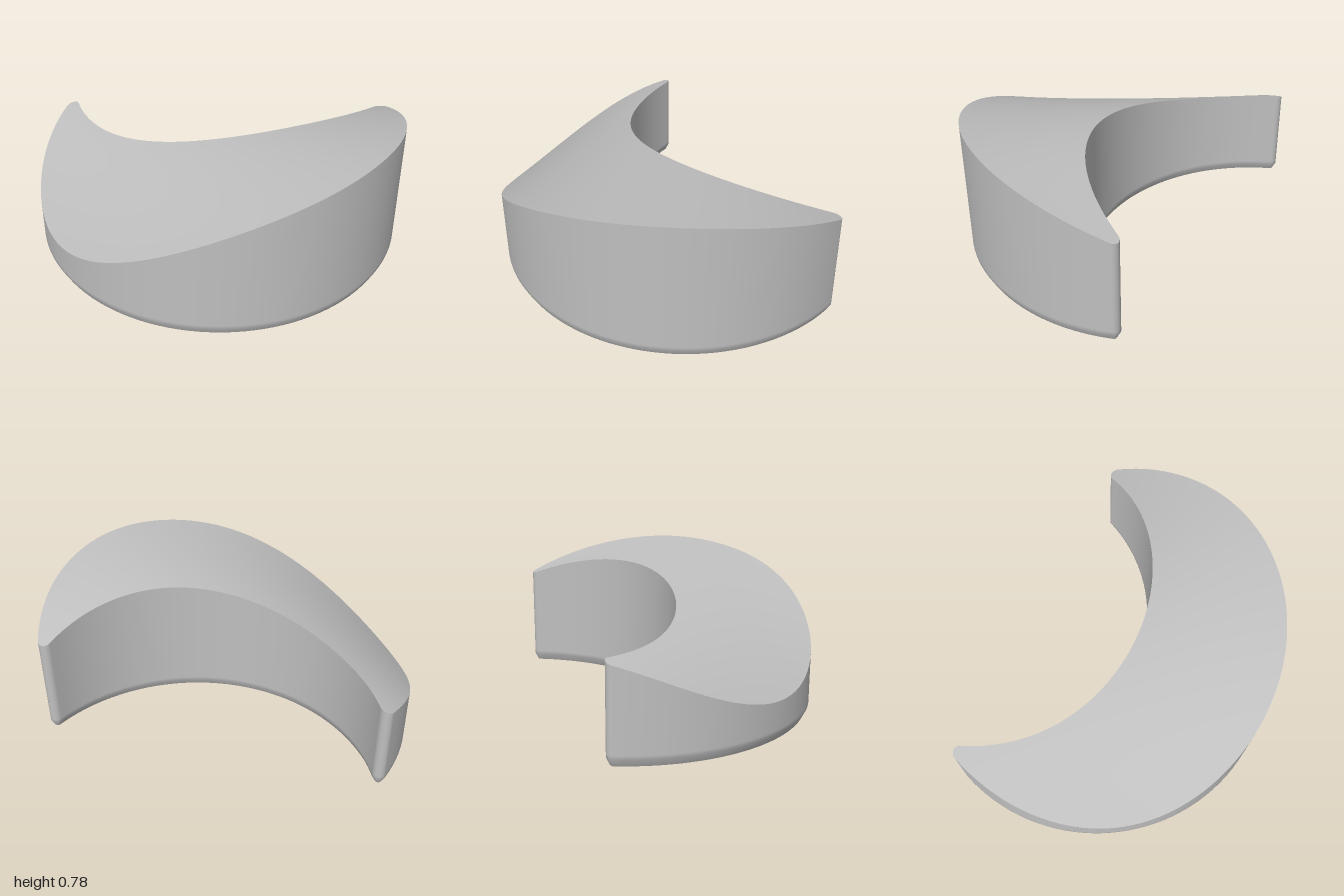
import * as THREE from 'three';

// Plan outline: two circles (x, z, radius) joined by small rounded tips
const OUTER = { x: 0.07, z: -0.015, r: 1.015 };
const INNER = { x: 0.66, z: -0.46, r: 0.965 };
const TIP_R = 0.037, INSET = 0.02, BEVEL = 0.04;
const ARC_STEPS = 72, TIP_STEPS = 6;

// Height of the domed, sloping top
function topHeight(x, z) {
  const t = x - 0.1;
  const slope = 0.12 + (x < 0 ? 0.22 : 0.15) * x * x;
  return 0.662 - 0.36 * t * t + 0.07 * Math.max(t, 0) ** 3 + slope * z;
}

// Points with outward normals along an arc; side -1 makes the normals face the centre
function arc(c, r, from, to, steps, side = 1) {
  return Array.from({ length: steps + 1 }, (_, i) => {
    const a = from + (to - from) * i / steps;
    const nx = Math.cos(a), nz = Math.sin(a);
    return { x: c.x + r * nx, z: c.z + r * nz, nx: nx * side, nz: nz * side };
  });
}

// Matching outer and inner edges, both running from the front tip to the back tip
function crescentEdges() {
  const dx = INNER.x - OUTER.x, dz = INNER.z - OUTER.z, d = Math.hypot(dx, dz);
  const ro = OUTER.r - TIP_R, ri = INNER.r + TIP_R;
  const a = (ro * ro - ri * ri + d * d) / (2 * d), h = Math.sqrt(ro * ro - a * a);
  const tip = (s) => ({
    x: OUTER.x + (a * dx - s * h * dz) / d,
    z: OUTER.z + (a * dz + s * h * dx) / d,
  });
  const front = tip(1), back = tip(-1);
  const angle = (c, p) => {
    const v = Math.atan2(p.z - c.z, p.x - c.x);
    return v < 0 ? v + 2 * Math.PI : v;
  };
  const o1 = angle(OUTER, front), o2 = angle(OUTER, back);
  const i1 = angle(INNER, front), i2 = angle(INNER, back);
  const m1 = (o1 + i1 - Math.PI) / 2, m2 = (o2 + i2 + Math.PI) / 2;
  const outer = [
    ...arc(front, TIP_R, m1, o1, TIP_STEPS).slice(0, -1),
    ...arc(OUTER, OUTER.r, o1, o2, ARC_STEPS),
    ...arc(back, TIP_R, o2, m2, TIP_STEPS).slice(1),
  ];
  const inner = [
    ...arc(front, TIP_R, m1, i1 - Math.PI, TIP_STEPS).slice(0, -1),
    ...arc(INNER, INNER.r, i1, i2, ARC_STEPS, -1),
    ...arc(back, TIP_R, i2 + Math.PI, m2, TIP_STEPS).slice(1),
  ];
  return { outer, inner };
}

// Skin over rows of points
function skin(rows, closed = false) {
  const n = rows[0].length, index = [];
  const last = closed ? rows.length : rows.length - 1;
  for (let i = 0; i < last; i++) {
    const k = (i + 1) % rows.length;
    for (let j = 0; j < n - 1; j++) {
      const a = i * n + j, b = k * n + j;
      index.push(a, a + 1, b, a + 1, b + 1, b);
    }
  }
  const g = new THREE.BufferGeometry();
  g.setAttribute('position', new THREE.Float32BufferAttribute(rows.flat(2), 3));
  g.setIndex(index);
  g.computeVertexNormals();
  return g;
}

export function createModel() {
  const group = new THREE.Group();
  group.name = 'crescentBlock';
  const grey = new THREE.MeshStandardMaterial({ color: 0xbfbfbf });
  grey.name = 'grey';
  const add = (name, geometry) => {
    const mesh = new THREE.Mesh(geometry, grey);
    mesh.name = name;
    group.add(mesh);
  };

  const { outer, inner } = crescentEdges();

  // Side wall with a small bevel at the foot
  const loop = [...outer, ...inner.slice(1, -1).reverse()];
  add('sideWall', skin(loop.map((p) => [
    [p.x - p.nx * INSET, 0, p.z - p.nz * INSET],
    [p.x, BEVEL, p.z],
    [p.x, BEVEL + 0.02, p.z],
    [p.x, topHeight(p.x, p.z), p.z],
  ]), true));

  // Curved top, spanning from the outer edge to the inner edge
  const ACROSS = 16;
  add('curvedTop', skin(outer.map((p, i) => Array.from({ length: ACROSS + 1 }, (_, j) => {
    const q = inner[i], t = j / ACROSS;
    const x = p.x + (q.x - p.x) * t, z = p.z + (q.z - p.z) * t;
    return [x, topHeight(x, z), z];
  }))));

  // Flat underside
  add('underside', skin(outer.map((p, i) => [inner[i], p].map((e) =>
    [e.x - e.nx * INSET, 0, e.z - e.nz * INSET]))));

  return group;
}
